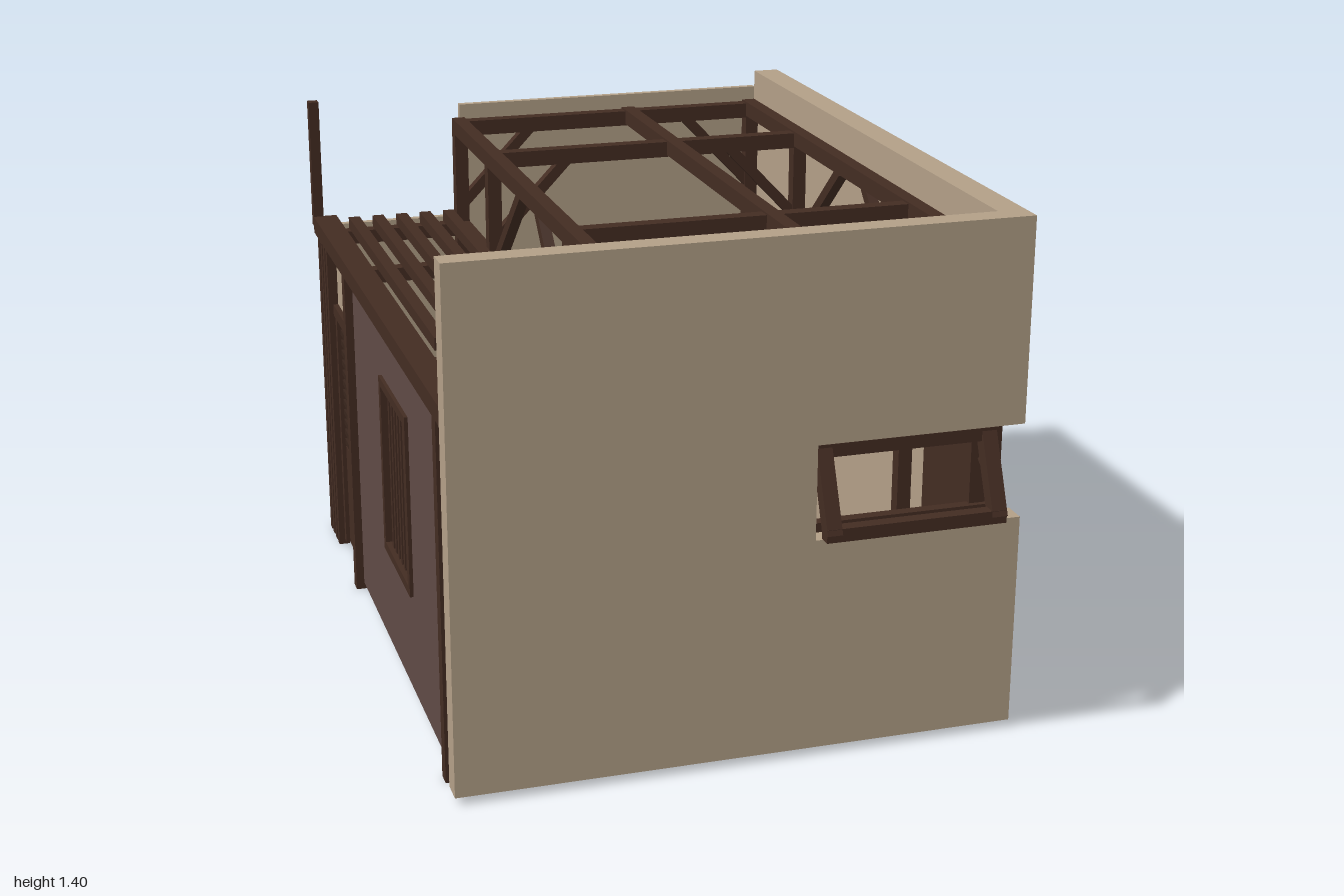
import * as THREE from 'three';

const mat = (name, color) => {
  const m = new THREE.MeshStandardMaterial({ color });
  m.name = name;
  return m;
};

export function createModel() {
  const plaster = mat('plaster', 0xb29f87);
  const wood = mat('darkWood', 0x432c22);
  const deepWood = mat('deepWood', 0x38251c);
  const clay = mat('clayWall', 0x5f4a45);
  const earth = mat('floorBrown', 0x6a5649);

  const root = new THREE.Group();
  const group = (name) => {
    const g = new THREE.Group();
    g.name = name;
    root.add(g);
    return g;
  };
  // box given by its min and max on each axis
  const box = (parent, name, m, x0, x1, y0, y1, z0, z1) => {
    const mesh = new THREE.Mesh(new THREE.BoxGeometry(x1 - x0, y1 - y0, z1 - z0), m);
    mesh.position.set((x0 + x1) / 2, (y0 + y1) / 2, (z0 + z1) / 2);
    mesh.name = name;
    parent.add(mesh);
    return mesh;
  };
  // square bar between two points
  const bar = (parent, name, m, a, b, t) => {
    const p = new THREE.Vector3(...a), q = new THREE.Vector3(...b);
    const mesh = new THREE.Mesh(new THREE.BoxGeometry(t, t, p.distanceTo(q)), m);
    mesh.position.copy(p).add(q).multiplyScalar(0.5);
    mesh.lookAt(q);
    mesh.name = name;
    parent.add(mesh);
  };
  const slab = (parent, name, m, pts, depth) => {
    const shape = new THREE.Shape(pts.map((p) => new THREE.Vector2(...p)));
    const mesh = new THREE.Mesh(new THREE.ExtrudeGeometry(shape, { depth, bevelEnabled: false }), m);
    mesh.name = name;
    parent.add(mesh);
    return mesh;
  };

  // floor
  box(root, 'floor', earth, -0.7, 0.675, 0, 0.025, -0.99, 0.855);

  // outer walls; the window notch wraps round the front right corner
  const walls = group('walls');
  slab(walls, 'frontWall', plaster, [[-0.75, 0.02], [0.75, 0.02], [0.75, 0.6], [0.19, 0.6],
    [0.19, 0.855], [0.75, 0.855], [0.75, 1.4], [-0.75, 1.4]], 0.065).position.z = 0.855;
  const right = slab(walls, 'rightWall', plaster, [[-0.855, 0.02], [0.97, 0.02], [0.97, 1.4], [-0.855, 1.4],
    [-0.855, 0.855], [-0.49, 0.855], [-0.49, 0.18], [-0.855, 0.18]], 0.075);
  right.rotation.y = Math.PI / 2;
  right.position.x = 0.675;
  slab(walls, 'backWall', plaster, [[-0.7, 0.01], [0.675, 0.01], [0.675, 1.35], [-0.285, 1.35],
    [-0.285, 1], [-0.7, 1]], 0.022).position.z = -0.992;
  box(root, 'sideShutter', wood, 0.665, 0.72, 0.18, 0.853, 0.49, 0.853);

  // tilted front window sash
  const sash = group('windowSash');
  for (const x of [0.21, 0.655]) {
    bar(sash, 'sashStile', wood, [x, 0.85, 0.89], [x, 0.635, 0.985], 0.04);
    bar(sash, 'sashStay', wood, [x, 0.69, 0.955], [x, 0.75, 0.86], 0.006);
  }
  bar(sash, 'sashTopRail', wood, [0.19, 0.835, 0.897], [0.675, 0.835, 0.897], 0.035);
  bar(sash, 'sashBottomRail', wood, [0.19, 0.64, 0.98], [0.675, 0.64, 0.98], 0.035);
  box(root, 'windowSill', wood, 0.19, 0.72, 0.6, 0.625, 0.84, 0.87);

  // back door with raised frame and panels, visible inside too
  const door = group('backDoor');
  box(door, 'doorLeaf', wood, 0.1, 0.474, 0.015, 0.83, -0.994, -0.964);
  for (const x of [0.1, 0.456]) box(door, 'doorJamb', wood, x, x + 0.018, 0.015, 0.84, -0.998, -0.962);
  box(door, 'doorHead', wood, 0.1, 0.474, 0.822, 0.84, -0.998, -0.962);
  for (const [x0, x1, y0, y1] of [[0.16, 0.41, 0.68, 0.78], [0.16, 0.25, 0.3, 0.63], [0.32, 0.41, 0.3, 0.63], [0.16, 0.41, 0.09, 0.24]])
    box(door, 'doorPanel', deepWood, x0, x1, y0, y1, -0.996, -0.97);
  const knob = new THREE.Mesh(new THREE.SphereGeometry(0.012, 10, 8), deepWood);
  knob.position.set(0.43, 0.41, -0.99);
  knob.name = 'doorKnob';
  door.add(knob);

  // low left wall with barred window (wall built round the opening)
  const left = group('leftWall');
  for (const [y0, y1, z0, z1] of [[0.02, 0.31, -0.48, 0.855], [0.82, 0.98, -0.48, 0.855], [0.31, 0.82, -0.48, -0.03], [0.31, 0.82, 0.33, 0.855]])
    box(left, 'clayPanel', clay, -0.725, -0.7, y0, y1, z0, z1);
  for (const z of [-0.03, 0.305]) box(left, 'windowJamb', wood, -0.735, -0.69, 0.31, 0.82, z, z + 0.025);
  for (const y of [0.31, 0.795]) box(left, 'windowRail', wood, -0.735, -0.69, y, y + 0.025, -0.03, 0.33);
  for (let i = 0; i < 7; i++) box(left, 'windowBar', wood, -0.722, -0.702, 0.32, 0.81, 0.027 + i * 0.04, 0.045 + i * 0.04);
  for (const z of [-0.5, 0.76]) box(left, 'leftPost', wood, -0.748, -0.695, 0, 0.99, z, z + 0.04);
  box(left, 'topBeam', wood, -0.75, -0.68, 0.98, 1.03, -0.97, 0.855);
  box(left, 'standingPost', wood, -0.75, -0.72, 1.0, 1.385, -0.997, -0.965);
  for (let i = 0; i < 4; i++) box(left, 'cornerSlat', wood, -0.738, -0.705, 0, 0.985, -0.985 + i * 0.045, -0.957 + i * 0.045);

  // lattice door on the left side
  box(left, 'transom', plaster, -0.71, -0.69, 0.78, 0.98, -0.82, -0.48);
  box(left, 'latticeHead', wood, -0.725, -0.685, 0.755, 0.79, -0.82, -0.48);
  box(left, 'latticeLowerPanel', wood, -0.71, -0.69, 0.02, 0.34, -0.82, -0.48);
  for (const z of [-0.81, -0.66, -0.53]) box(left, 'latticeStile', wood, -0.722, -0.685, 0.02, 0.78, z, z + 0.025);
  for (let i = 0; i < 13; i++) box(left, 'latticeSlat', deepWood, -0.712, -0.69, 0.35 + i * 0.032, 0.367 + i * 0.032, -0.82, -0.48);

  // main timber frame
  const frame = group('timberFrame');
  const xs = [-0.29, 0.255, 0.655], zs = [-0.95, -0.51, 0.37, 0.835];
  const h = 0.02;
  for (const x of xs) box(frame, 'longBeam', wood, x - h, x + h, 1.265, 1.31, -0.97, 0.855);
  for (const z of zs) {
    box(frame, 'crossBeam', wood, -0.31, 0.675, 1.26, 1.305, z - h, z + h);
    box(frame, 'lowCrossBeam', wood, -0.7, -0.27, 0.945, 0.985, z - h, z + h);
    for (const x of [xs[0], xs[2]]) {
      box(frame, 'post', wood, x - h, x + h, 0.02, 1.27, z - h, z + h);
      const s = x < 0 ? 1 : -1;
      bar(frame, 'crossBrace', wood, [x, 1.04, z], [x + s * 0.22, 1.27, z], 0.03);
    }
  }
  for (const x of [xs[0], xs[2]]) {
    bar(frame, 'longBrace', wood, [x, 0.95, -0.5], [x, 1.27, -0.14], 0.03);
    bar(frame, 'longBrace', wood, [x, 0.95, 0.36], [x, 1.27, 0.05], 0.03);
  }
  box(frame, 'eaveBeam', wood, -0.31, -0.27, 0.95, 0.99, -0.97, 0.855);
  box(frame, 'hangingBoard', wood, -0.3, -0.28, 0.85, 1.27, 0.38, 0.6);
  box(frame, 'hangingBoard', wood, -0.05, 0.1, 0.85, 1.27, 0.36, 0.38);

  // open rafters over the low side
  const rafters = group('rafters');
  for (let i = 0; i < 5; i++) {
    const x = -0.625 + i * 0.074;
    box(rafters, 'rafter', wood, x - 0.017, x + 0.017, 0.985, 1.02, -0.97, 0.3);
  }

  // staircase: straight flight, landing and short second flight
  const stair = group('staircase');
  for (let i = 0; i < 13; i++) {
    const x = 0.17 - i * 0.045, y = 0.08 + i * 0.033;
    box(stair, 'tread', deepWood, x - 0.032, x, y, y + 0.015, 0.58, 0.81);
  }
  for (const z of [0.57, 0.815]) bar(stair, 'stringer', wood, [0.18, 0.06, z], [-0.42, 0.5, z], 0.03);
  for (const z of [0.57, 0.815]) bar(stair, 'handrail', wood, [0.18, 0.28, z], [-0.42, 0.72, z], 0.02);
  box(stair, 'landing', wood, -0.65, -0.41, 0.47, 0.5, 0.59, 0.82);
  for (let i = 0; i < 6; i++) {
    const z = 0.56 - i * 0.03, y = 0.53 + i * 0.035;
    box(stair, 'upperTread', deepWood, -0.64, -0.42, y, y + 0.015, z - 0.024, z);
  }
  for (const x of [-0.645, -0.415]) bar(stair, 'upperStringer', wood, [x, 0.49, 0.59], [x, 0.72, 0.39], 0.02);

  // tall cabinet in the back right corner
  const cabinet = group('cabinet');
  box(cabinet, 'cabinetBody', wood, 0.5, 0.645, 0.025, 0.84, -0.92, -0.54);
  box(cabinet, 'cabinetTop', wood, 0.49, 0.65, 0.84, 0.86, -0.925, -0.53);
  for (const y of [0.1, 0.45]) box(cabinet, 'cabinetPanel', deepWood, 0.52, 0.625, y, y + 0.3, -0.545, -0.535);

  // low table, round stool and floor mat under the rafters
  const seating = group('seating');
  box(seating, 'mat', earth, -0.67, -0.19, 0.025, 0.032, -0.27, 0.1);
  box(seating, 'tableTop', wood, -0.66, -0.25, 0.2, 0.22, -0.2, -0.03);
  for (const x of [-0.65, -0.29]) for (const z of [-0.19, -0.06]) box(seating, 'tableLeg', wood, x, x + 0.02, 0.03, 0.2, z, z + 0.02);
  const stool = new THREE.Mesh(new THREE.CylinderGeometry(0.07, 0.07, 0.13, 20), wood);
  stool.position.set(-0.25, 0.095, -0.11);
  stool.name = 'stool';
  seating.add(stool);

  return root;
}
